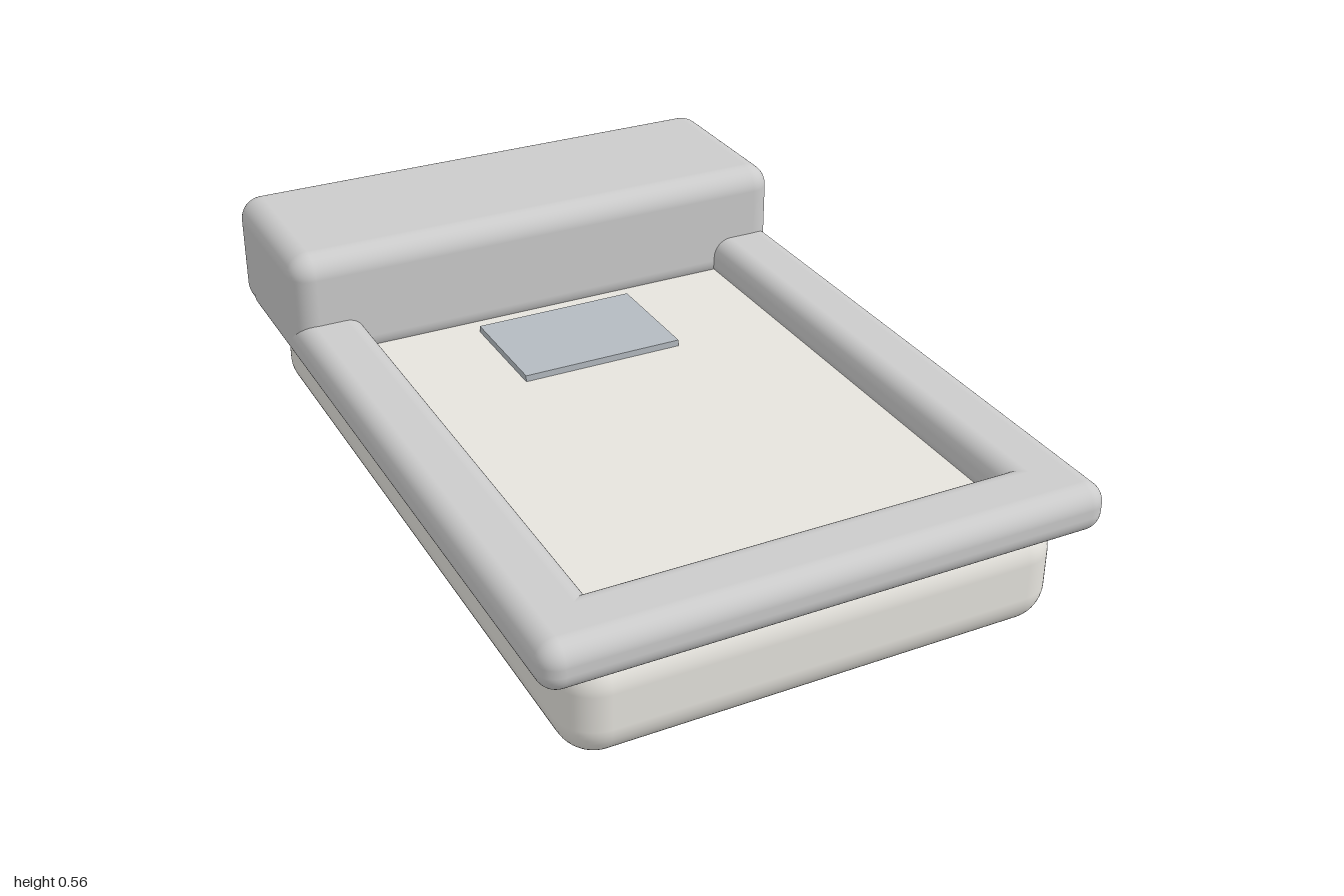
import * as THREE from 'three';
import { RoundedBoxGeometry } from 'three/addons/geometries/RoundedBoxGeometry.js';

const grey = new THREE.MeshStandardMaterial({ color: 0xcccccc });
const cream = new THREE.MeshStandardMaterial({ color: 0xe6e4de });
const slate = new THREE.MeshStandardMaterial({ color: 0xb4bbc1 });

// Rounded block given by its limits on each axis
function block(name, [x0, x1], [y0, y1], [z0, z1], radius, material) {
  const size = [x1 - x0, y1 - y0, z1 - z0];
  const geometry = radius > 0
    ? new RoundedBoxGeometry(...size, 6, radius)
    : new THREE.BoxGeometry(...size);
  const mesh = new THREE.Mesh(geometry, material);
  mesh.name = name;
  mesh.position.set((x0 + x1) / 2, (y0 + y1) / 2, (z0 + z1) / 2);
  return mesh;
}

export function createModel() {
  const model = new THREE.Group();
  model.name = 'trayBed';

  // Soft-edged base whose top forms the floor of the tray
  model.add(block('base', [-0.613, 0.613], [0, 0.28], [-0.953, 0.957], 0.095, cream));

  // Rim: one rail along the front, one on each side running under the head block
  const rimY = [0.25, 0.37];
  model.add(block('frontRail', [-0.69, 0.69], rimY, [0.815, 1], 0.05, grey));
  for (const [name, limits] of [['leftRail', [0.51, 0.69]], ['rightRail', [-0.69, -0.51]]]) {
    model.add(block(name, limits, rimY, [-0.94, 1], 0.05, grey));
  }

  // Raised block across the back
  model.add(block('headBlock', [-0.69, 0.69], [0.25, 0.555], [-1, -0.51], 0.06, grey));

  // Thin plate lying on the floor
  model.add(block('plate', [-0.215, 0.215], [0.275, 0.297], [-0.46, -0.16], 0, slate));

  return model;
}
